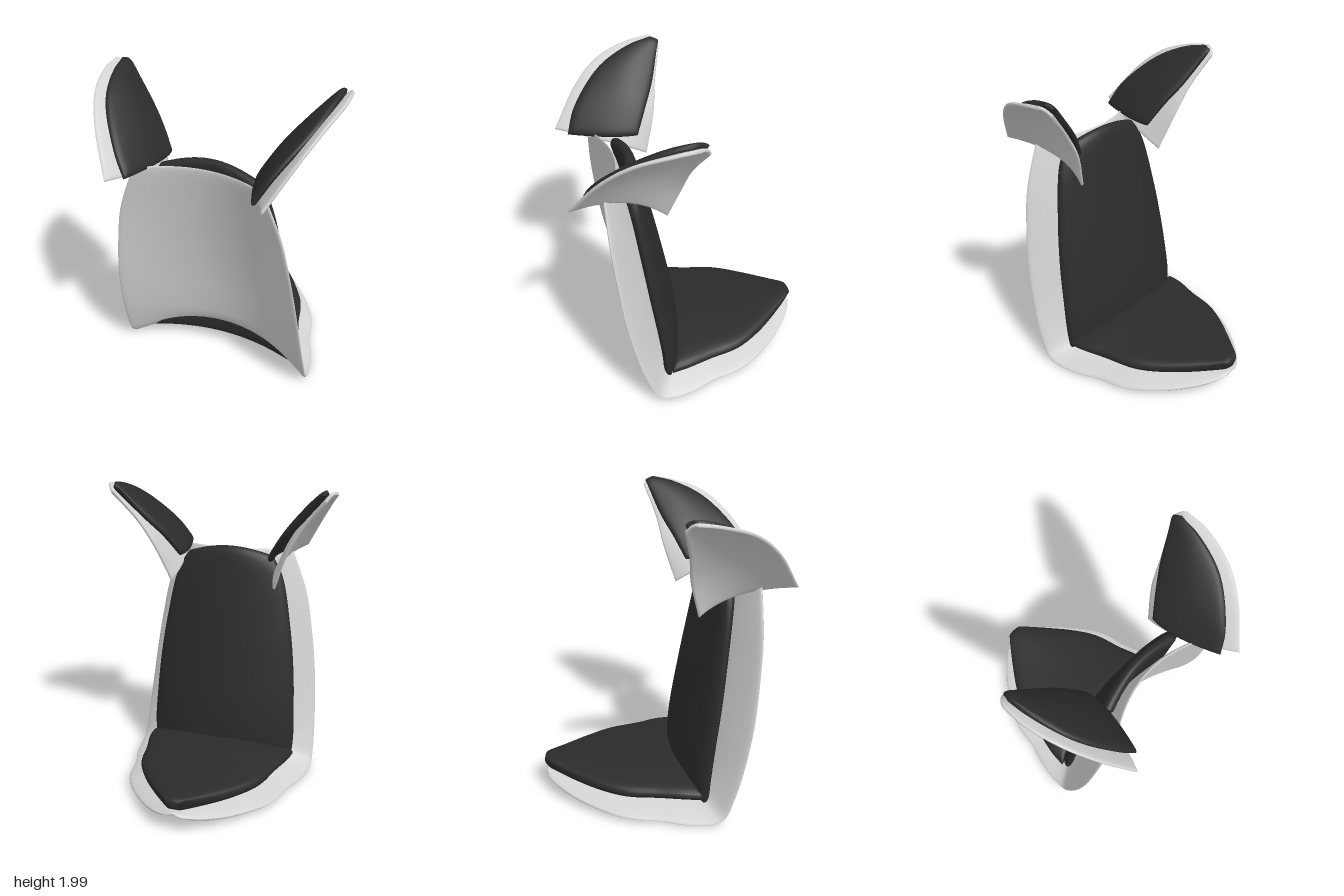
import * as THREE from 'three';

const shellMat = new THREE.MeshStandardMaterial({ color: 0xd2d2d2 });
shellMat.name = 'light shell';
const padMat = new THREE.MeshStandardMaterial({ color: 0x2b2b2b });
padMat.name = 'dark upholstery';

// Curved slab lofted across three rails (s = -1, 0, 1), with rounded rims.
function panel(name, rails, thickness, rim, material, ns = 28, nv = 56) {
  const [L, M, R] = rails.map((r) => new THREE.CatmullRomCurve3(r.map((p) => new THREE.Vector3(...p))));
  const at = (s, v) => {
    v = THREE.MathUtils.clamp(v, 0, 1);
    return L.getPoint(v).multiplyScalar((s * (s - 1)) / 2)
      .addScaledVector(M.getPoint(v), 1 - s * s)
      .addScaledVector(R.getPoint(v), (s * (s + 1)) / 2);
  };
  const pos = [], index = [], e = 0.004;
  for (const side of [1, -1]) {
    const base = pos.length / 3;
    for (let j = 0; j <= nv; j++) {
      for (let i = 0; i <= ns; i++) {
        // samples bunch up towards the rims
        const s = Math.sin((i / ns - 0.5) * Math.PI);
        const t = Math.sin((j / nv - 0.5) * Math.PI), v = (t + 1) / 2;
        const n = at(s + e, v).sub(at(s - e, v)).cross(at(s, v + e).sub(at(s, v - e))).normalize();
        const d = Math.max(Math.abs(s), Math.abs(t));
        const h = Math.sqrt(Math.max(0, 1 - d ** rim)) * thickness / 2;
        pos.push(...at(s, v).addScaledVector(n, side * h).toArray());
        if (i < ns && j < nv) {
          const a = base + j * (ns + 1) + i, b = a + 1, c = a + ns + 1, f = c + 1;
          if (side > 0) index.push(a, b, f, a, f, c);
          else index.push(a, f, b, a, c, f);
        }
      }
    }
  }
  const geo = new THREE.BufferGeometry();
  geo.setAttribute('position', new THREE.Float32BufferAttribute(pos, 3));
  geo.setIndex(index);
  geo.computeVertexNormals();
  const mesh = new THREE.Mesh(geo, material);
  mesh.name = name;
  return mesh;
}

// Stations [centre y, centre z, edge y, edge z, half width] to symmetric rails.
const symmetric = (st) => [
  st.map(([, , y, z, w]) => [-w, y, z]),
  st.map(([y, z]) => [0, y, z]),
  st.map(([, , y, z, w]) => [w, y, z]),
];

export function createModel() {
  const chair = new THREE.Group();
  chair.name = 'chair';

  // One continuous shell running down the back and along the seat
  chair.add(panel('bodyShell', symmetric([
    [1.535, 0.45, 1.53, 0.57, 0.40],
    [1.25, 0.39, 1.24, 0.563, 0.51],
    [1.0, 0.335, 1.0, 0.545, 0.56],
    [0.7, 0.275, 0.7, 0.512, 0.605],
    [0.4, 0.225, 0.4, 0.455, 0.632],
    [0.25, 0.19, 0.18, 0.392, 0.645],
    [0.18, 0.14, 0.05, 0.335, 0.648],
    [0.155, 0.07, 0.015, 0.25, 0.645],
    [0.145, -0.04, 0.012, 0.08, 0.612],
    [0.14, -0.12, 0.02, -0.06, 0.56],
    [0.135, -0.3, 0.035, -0.29, 0.506],
    [0.13, -0.52, 0.06, -0.52, 0.35],
    [0.135, -0.66, 0.085, -0.66, 0.21],
    [0.14, -0.74, 0.11, -0.735, 0.10],
    [0.145, -0.765, 0.135, -0.76, 0.02],
  ]), 0.022, 60, shellMat, 28, 90));

  // Back cushion, its lower end showing beneath the arch of the shell
  chair.add(panel('backCushion', symmetric([
    [1.565, 0.375, 1.5, 0.43, 0.29],
    [1.4, 0.34, 1.38, 0.40, 0.37],
    [1.02, 0.26, 1.02, 0.355, 0.45],
    [0.73, 0.205, 0.73, 0.32, 0.49],
    [0.465, 0.16, 0.465, 0.285, 0.51],
    [0.25, 0.142, 0.25, 0.26, 0.52],
    [0.09, 0.15, 0.085, 0.25, 0.51],
  ]), 0.085, 14, padMat));

  // Pointed seat cushion
  chair.add(panel('seatCushion', symmetric([
    [0.2, 0.15, 0.14, 0.22, 0.53],
    [0.2, 0.05, 0.15, 0.1, 0.515],
    [0.195, -0.08, 0.15, -0.06, 0.47],
    [0.19, -0.28, 0.155, -0.27, 0.42],
    [0.195, -0.46, 0.165, -0.456, 0.31],
    [0.21, -0.68, 0.19, -0.68, 0.12],
    [0.215, -0.775, 0.21, -0.77, 0.03],
  ]), 0.09, 14, padMat));

  // Pair of head wings: outer shell with an inner pad
  const wingShell = [
    [[0.36, 1.33, 0.2], [0.45, 1.58, 0.127], [0.55, 1.75, 0.095], [0.7, 1.94, 0.035]],
    [[0.345, 1.455, 0.45], [0.48, 1.7, 0.34], [0.6, 1.86, 0.22], [0.725, 1.975, 0.06]],
    [[0.465, 1.525, 0.775], [0.606, 1.77, 0.6], [0.69, 1.9, 0.436], [0.742, 1.965, 0.23], [0.742, 1.985, 0.09]],
  ];
  const wingPad = [
    [[0.31, 1.5, 0.26], [0.4, 1.64, 0.19], [0.51, 1.77, 0.12], [0.69, 1.975, 0.045]],
    [[0.31, 1.51, 0.44], [0.43, 1.7, 0.36], [0.56, 1.86, 0.24], [0.69, 1.985, 0.06]],
    [[0.385, 1.52, 0.7], [0.47, 1.66, 0.64], [0.62, 1.86, 0.44], [0.685, 1.96, 0.22], [0.7, 1.985, 0.08]],
  ];
  for (const side of [1, -1]) {
    const flip = (rails) => rails.map((r) => r.map(([x, y, z]) => [x * side, y, z]));
    const wing = new THREE.Group();
    wing.name = side > 0 ? 'leftWing' : 'rightWing';
    wing.add(
      panel('wingShell', flip(wingShell), 0.022, 60, shellMat, 24, 36),
      panel('wingPad', flip(wingPad), 0.045, 16, padMat, 24, 36),
    );
    chair.add(wing);
  }
  return chair;
}
